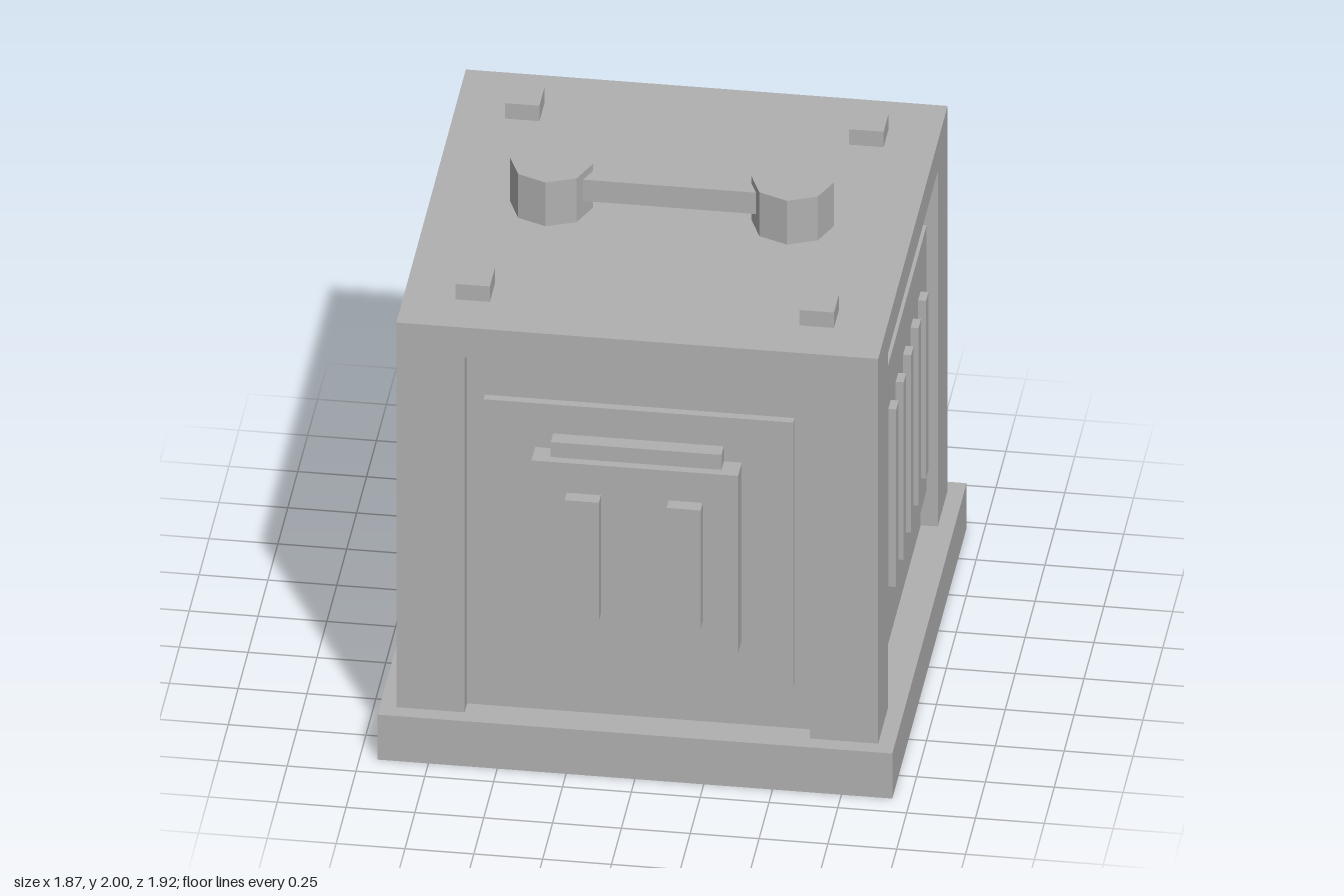
import * as THREE from 'three';

export function createModel() {
  const model = new THREE.Group();
  const grey = new THREE.MeshStandardMaterial({ color: 0xb0b0b0 });
  grey.name = 'grey';

  const add = (parent, name, geometry) => {
    const mesh = new THREE.Mesh(geometry, grey);
    mesh.name = name;
    parent.add(mesh);
    return mesh;
  };
  // box given by its extents on each axis
  const box = (parent, name, [x0, x1], [y0, y1], [z0, z1]) => {
    const mesh = add(parent, name, new THREE.BoxGeometry(x1 - x0, y1 - y0, z1 - z0));
    mesh.position.set((x0 + x1) / 2, (y0 + y1) / 2, (z0 + z1) / 2);
    return mesh;
  };
  const faceted = (r, h, sides) => new THREE.CylinderGeometry(r, r, h, sides).toNonIndexed();
  const flat = (geometry) => { geometry.computeVertexNormals(); return geometry; };

  // the body sits slightly behind the middle
  const crate = new THREE.Group();
  crate.name = 'crate';
  crate.position.z = -0.025;
  model.add(crate);

  // base, core with recessed walls, corner posts and top slab
  const H = 0.875, R = 0.627, F = 0.813;
  box(crate, 'base', [-0.935, 0.935], [0, 0.19], [-0.935, 0.935]);
  box(crate, 'core', [-F, F], [0.19, 1.69], [-F, F]);
  box(crate, 'topSlab', [-H, H], [1.69, 1.815], [-H, H]);
  for (const sx of [-1, 1]) for (const sz of [-1, 1]) {
    const post = box(crate, 'cornerPost', [R, H], [0.19, 1.69], [R, H]);
    post.position.x *= sx;
    post.position.z *= sz;
    const stud = box(crate, 'topStud', [0.5625, 0.6875], [1.815, 1.88], [0.5625, 0.6875]);
    stud.position.x *= sx;
    stud.position.z *= sz;
  }

  // carrying handle on top
  box(crate, 'handleBar', [-0.4, 0.4], [1.88, 1.97], [-0.065, 0.06]);
  for (const sx of [-1, 1]) {
    const post = add(crate, 'handlePost', flat(faceted(0.15, 0.185, 8)));
    post.position.set(sx * 0.438, 1.9075, -0.003);
  }

  // walls, each built facing +z
  const wall = (name, turn) => {
    const group = new THREE.Group();
    group.name = name;
    group.rotation.y = turn;
    crate.add(group);
    return group;
  };

  // front: panel, raised plate with lip and two grips
  const front = wall('frontWall', 0);
  box(front, 'frontPanel', [-0.5625, 0.5625], [0.38, 1.5], [F, 0.845]);
  box(front, 'frontPlate', [-0.375, 0.375], [0.565, 1.315], [F, 0.938]);
  box(front, 'plateLip', [-0.31, 0.31], [1.315, 1.378], [F, 0.905]);
  for (const x of [-0.185, 0.185])
    box(front, 'frontGrip', [x - 0.062, x + 0.062], [0.69, 1.19], [0.938, 0.99]);

  // sides: panel with five upright slats
  for (const s of [-1, 1]) {
    const side = wall(s > 0 ? 'leftWall' : 'rightWall', s * Math.PI / 2);
    box(side, 'sidePanel', [-0.5625, 0.5625], [0.38, 1.5], [F, 0.844]);
    for (let i = -2; i <= 2; i++) {
      const x = i * 0.1875;
      box(side, 'sideSlat', [x - 0.031, x + 0.031], [0.565, 1.315], [0.844, 0.873]);
    }
  }

  // back: framed window, dials, buttons and strips (x is mirrored by the turn)
  const back = wall('backWall', Math.PI);
  const cx = 0.222, cy = 0.8475;
  const frame = new THREE.Shape([[-1, -1], [1, -1], [1, 1], [-1, 1]]
    .map(([x, y]) => new THREE.Vector2(x * 0.406, y * 0.403)));
  frame.holes.push(new THREE.Path([[-1, -1], [-1, 1], [1, 1], [1, -1]]
    .map(([x, y]) => new THREE.Vector2(x * 0.3125, y * 0.3125))));
  add(back, 'windowFrame', new THREE.ExtrudeGeometry(frame, { depth: 0.093, bevelEnabled: false }))
    .position.set(cx, cy, F);
  box(back, 'windowPane', [cx - 0.32, cx + 0.32], [cy - 0.32, cy + 0.32], [F, 0.843]);
  for (const y of [0.72, 1.158]) {
    const dial = add(back, 'dial', flat(faceted(0.1875, 0.073, 12)));
    dial.rotation.x = Math.PI / 2;
    dial.position.set(-0.405, y, F + 0.0365);
  }
  for (const x of [-0.565, -0.383])
    box(back, 'button', [x - 0.0625, x + 0.0625], [1.5, 1.615], [F, 0.872]);
  box(back, 'upperStrip', [-0.14, R], [1.51, 1.63], [F, 0.844]);
  box(back, 'lowerStrip', [-R, R], [0.25, 0.38], [F, 0.844]);

  return model;
}
